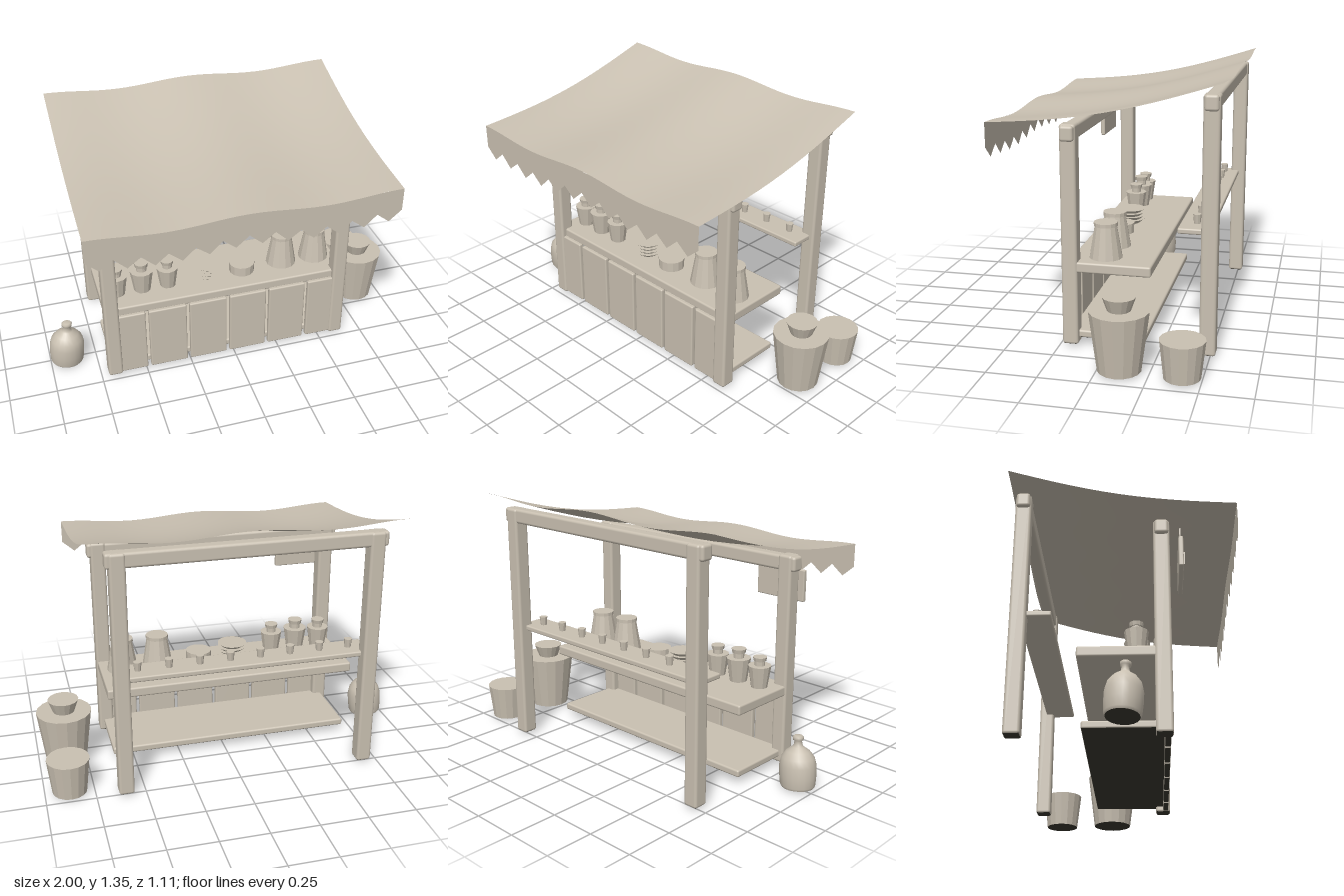
import * as THREE from 'three';
import { RoundedBoxGeometry } from 'three/addons/geometries/RoundedBoxGeometry.js';

const clay = new THREE.MeshStandardMaterial({ color: 0xc9c0b1 });
clay.name = 'warm grey clay';
const cloth = new THREE.MeshStandardMaterial({ color: 0xc9c0b1, side: THREE.DoubleSide });
cloth.name = 'warm grey cloth';
const dark = new THREE.MeshStandardMaterial({ color: 0x3a3930 });
dark.name = 'dark underside';

// Materials per face group for parts whose underside near the ground is dark
const darkBottomBox = [clay, clay, clay, dark, clay, clay];
const darkBottomRound = [clay, clay, dark];

const MID = -0.037; // middle of the stall frame in x

function add(parent, name, geometry, x = 0, y = 0, z = 0, material = clay) {
  const mesh = new THREE.Mesh(geometry, material);
  mesh.name = name;
  mesh.position.set(x, y, z);
  parent.add(mesh);
  return mesh;
}

// Rounded plank given by its minimum and maximum on each axis
function plank(parent, name, [x0, x1], [y0, y1], [z0, z1], radius = 0.01, material = clay) {
  const geometry = new RoundedBoxGeometry(x1 - x0, y1 - y0, z1 - z0, 2, radius);
  return add(parent, name, geometry, (x0 + x1) / 2, (y0 + y1) / 2, (z0 + z1) / 2, material);
}

// Faceted frustum standing on y
function frustum(parent, name, rBottom, rTop, height, x, y, z, sides = 14, material = clay) {
  const geometry = new THREE.CylinderGeometry(rTop, rBottom, height, sides).toNonIndexed();
  geometry.computeVertexNormals();
  return add(parent, name, geometry, x, y + height / 2, z, material);
}

function group(parent, name, x = 0, y = 0, z = 0) {
  const g = new THREE.Group();
  g.name = name;
  g.position.set(x, y, z);
  parent.add(g);
  return g;
}

// Height of the sagging, rippled canopy cloth
function canopyHeight(x, z) {
  const s = (0.555 - z) / 1.11;
  const ripple = 0.012 * Math.cos(4 * Math.PI * (x - MID + 0.785) / 1.57);
  return 1.122 + 0.213 * s - 0.045 * Math.sin(Math.PI * s) + ripple;
}

function buildFrame(root) {
  const frame = group(root, 'frame');
  for (const [label, z, top, beamY] of [['front', 0.193, 1.118, 1.075], ['back', -0.488, 1.28, 1.243]]) {
    for (const side of [-1, 1]) {
      const x = MID + side * 0.637;
      plank(frame, label + 'Post', [x - 0.039, x + 0.039], [0.012, top], [z - 0.04, z + 0.04], 0.014, darkBottomBox);
    }
    plank(frame, label + 'Beam', [MID - 0.695, MID + 0.695], [beamY - 0.038, beamY + 0.038], [z - 0.034, z + 0.034], 0.014);
  }
  plank(frame, 'counter', [MID - 0.67, MID + 0.67], [0.387, 0.44], [-0.21, 0.205]);
  plank(frame, 'lowerShelf', [MID - 0.65, MID + 0.65], [0.042, 0.08], [-0.182, 0.2], 0.01, darkBottomBox);
  plank(frame, 'upperShelf', [MID - 0.65, MID + 0.65], [0.611, 0.639], [-0.49, -0.332], 0.008);
  for (let i = 0; i < 6; i++) {
    const x = MID + (i - 2.5) * 0.224;
    plank(frame, 'frontPanel', [x - 0.103, x + 0.103], [0.019, 0.395], [0.193, 0.223], 0.008, darkBottomBox);
  }
}

function buildCanopy(root) {
  const canopy = group(root, 'canopy');
  const roof = new THREE.PlaneGeometry(1.57, 1.11, 32, 14).rotateX(-Math.PI / 2).translate(MID, 0, 0);
  const p = roof.attributes.position;
  for (let i = 0; i < p.count; i++) p.setY(i, canopyHeight(p.getX(i), p.getZ(i)));
  roof.computeVertexNormals();
  add(canopy, 'canopyCloth', roof, 0, 0, 0, cloth);

  // Hanging front edge with a zigzag hem
  const hem = new THREE.PlaneGeometry(1.57, 1, 24, 1).translate(MID, 0, 0.555);
  const h = hem.attributes.position;
  for (let i = 0; i < h.count; i++) {
    const drop = i < 25 ? 0 : (i - 25) % 2 ? 0.175 : 0.12;
    h.setY(i, canopyHeight(h.getX(i), 0.555) - drop);
  }
  add(canopy, 'canopyValance', hem, 0, 0, 0, cloth);
}

function buildSign(root) {
  const sign = group(root, 'hangingSign', -0.567, -0.005, -0.003);
  plank(sign, 'signBoard', [-0.145, 0.145], [0.866, 1.03], [0.278, 0.302], 0.006);
  add(sign, 'signPlate', new THREE.BoxGeometry(0.146, 0.066, 0.009), 0, 0.948, 0.306);
  for (const side of [-1, 1]) {
    add(sign, 'signStrap', new THREE.BoxGeometry(0.008, 0.08, 0.007), side * 0.1, 1.06, 0.288);
  }
}

function buildWares(root) {
  const wares = group(root, 'wares');
  const top = 0.44;
  // Small cups on the upper shelf
  for (let i = 0; i < 8; i++) frustum(wares, 'cup', 0.016, 0.021, 0.046, -0.592 + i * 0.157, 0.639, -0.412, 10);

  // Stoppered vases
  for (const [x, s] of [[-0.61, 1], [-0.474, 1.08], [-0.334, 1]]) {
    const vase = group(wares, 'vase', x, top, 0.068);
    vase.scale.setScalar(s);
    frustum(vase, 'vaseBody', 0.042, 0.059, 0.115, 0, 0, 0, 12);
    frustum(vase, 'vaseNeck', 0.026, 0.026, 0.028, 0, 0.115, 0, 12);
    frustum(vase, 'vaseStopper', 0.032, 0.036, 0.02, 0, 0.14, 0, 12);
  }

  // Stack of plates
  for (let i = 0; i < 4; i++) frustum(wares, 'plate', 0.05, 0.08, 0.024, -0.103, top + i * 0.019, 0.05, 16);

  // Round box with lid
  frustum(wares, 'roundBox', 0.068, 0.068, 0.04, 0.087, top, 0.058);
  frustum(wares, 'roundBoxLid', 0.07, 0.07, 0.014, 0.087, top + 0.04, 0.058);

  // Tapered jars
  for (const x of [0.322, 0.514]) {
    frustum(wares, 'jarBody', 0.083, 0.055, 0.165, x, top, 0.038);
    frustum(wares, 'jarLid', 0.06, 0.06, 0.018, x, top + 0.162, 0.038);
  }
}

function buildFloorVessels(root) {
  const vessels = group(root, 'floorVessels');
  frustum(vessels, 'largePot', 0.105, 0.144, 0.297, 0.855, 0.009, -0.107, 16, darkBottomRound);
  frustum(vessels, 'largePotStopper', 0.056, 0.08, 0.067, 0.855, 0.306, -0.107, 16);
  frustum(vessels, 'bucket', 0.088, 0.109, 0.187, 0.874, 0.009, -0.407, 16, darkBottomRound);

  // Leaning jug, slightly flattened, with a dark base
  const jug = group(vessels, 'jug', -0.91, 0.007, 0.013);
  jug.rotation.set(0.05, 0, -0.07);
  jug.scale.z = 0.92;
  const profile = [[0.083, 0], [0.09, 0.012], [0.094, 0.06], [0.094, 0.115], [0.084, 0.155], [0.06, 0.185],
    [0.03, 0.206], [0.022, 0.216], [0.019, 0.236], [0.027, 0.242], [0.028, 0.257], [0.02, 0.264], [0, 0.264]];
  add(jug, 'jugBody', new THREE.LatheGeometry(profile.map(([r, y]) => new THREE.Vector2(r, y)), 20));
  add(jug, 'jugBase', new THREE.CircleGeometry(0.083, 20).rotateX(Math.PI / 2), 0, 0, 0, dark);
}

export function createModel() {
  const root = new THREE.Group();
  root.name = 'marketStall';
  buildFrame(root);
  buildCanopy(root);
  buildSign(root);
  buildWares(root);
  buildFloorVessels(root);
  return root;
}
